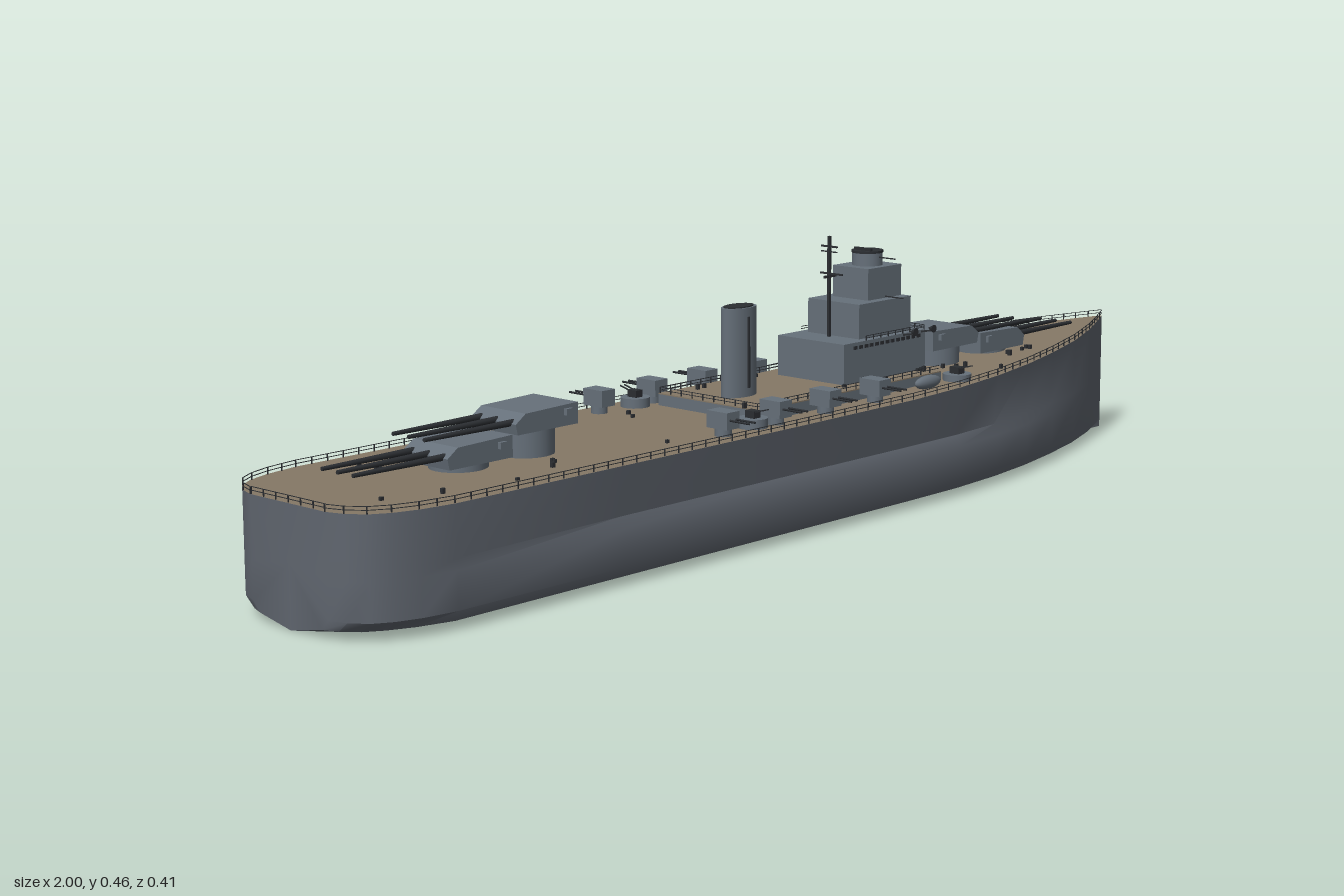
import * as THREE from 'three';
import { mergeGeometries, toCreasedNormals } from 'three/addons/utils/BufferGeometryUtils.js';

const mat = (name, color, side = THREE.FrontSide) => {
  const m = new THREE.MeshStandardMaterial({ color, side });
  m.name = name;
  return m;
};

// Half width of the deck along the ship: [x, half width]
const PLAN = [[-1, 0.085], [-0.99, 0.115], [-0.97, 0.142], [-0.94, 0.16], [-0.9, 0.173], [-0.84, 0.182],
  [-0.5, 0.182], [-0.1, 0.182], [0.2, 0.182], [0.33, 0.18], [0.45, 0.17], [0.56, 0.153], [0.67, 0.128],
  [0.78, 0.097], [0.88, 0.059], [0.95, 0.026], [1, 0.001]];
const clamp = THREE.MathUtils.clamp;
const deckY = (x) => 0.189 + 0.03 * Math.pow(clamp((x - 0.1) / 0.9, 0, 1), 1.4);

export function createModel() {
  const hullGrey = mat('hull grey', 0x60666f);
  const grey = mat('superstructure grey', 0x66707a);
  const wood = mat('deck wood', 0x857866);
  const dark = mat('dark fittings', 0x2b2e32);
  const ship = new THREE.Group();
  ship.name = 'battleship';

  const add = (name, geo, material, x = 0, y = 0, z = 0, parent = ship) => {
    const m = new THREE.Mesh(geo, material);
    m.name = name;
    m.position.set(x, y, z);
    parent.add(m);
    return m;
  };
  // Box given by its limits
  const block = (name, material, x0, x1, y0, y1, z0, z1, parent = ship) =>
    add(name, new THREE.BoxGeometry(x1 - x0, y1 - y0, z1 - z0), material,
      (x0 + x1) / 2, (y0 + y1) / 2, (z0 + z1) / 2, parent);
  // Thin square bar between two points
  const bar = (a, b, t) => {
    const d = b.clone().sub(a);
    const g = new THREE.BoxGeometry(t, t, d.length());
    g.applyQuaternion(new THREE.Quaternion().setFromUnitVectors(new THREE.Vector3(0, 0, 1), d.normalize()));
    return g.translate((a.x + b.x) / 2, (a.y + b.y) / 2, (a.z + b.z) / 2);
  };
  const V = (x, y, z) => new THREE.Vector3(x, y, z);

  // Surface through rows of equal length; optional cap on the first row
  const loft = (rows, cap) => {
    const n = rows[0].length, pos = rows.flat(2), idx = [];
    for (let i = 0; i < rows.length - 1; i++) for (let j = 0; j < n - 1; j++) {
      const a = i * n + j, c = a + n;
      idx.push(a, a + 1, c, a + 1, c + 1, c);
    }
    if (cap) {
      const k = pos.length / 3;
      pos.push(rows[0][0][0], 0.1, 0);
      for (let j = 0; j < n; j++) idx.push(k, (j + 1) % n, j);
    }
    const g = new THREE.BufferGeometry();
    g.setAttribute('position', new THREE.Float32BufferAttribute(pos, 3));
    g.setIndex(idx);
    return toCreasedNormals(g, 0.6);
  };

  // Hull with a shallow V bottom and a side bulge
  const section = ([x, w]) => {
    const dent = 0.055 * clamp((0.85 - Math.abs(x)) / 0.25, 0, 1);
    const tuck = 1 - 0.14 * clamp((-0.85 - x) / 0.15, 0, 1);
    const half = [[1, deckY(x)], [1 - dent, 0.108], [1, 0.09], [1, 0.03], [0.96 * tuck, 0.014]];
    const left = half.map(([f, y]) => [x, y, w * f]);
    const right = half.map(([f, y]) => [x, y, -w * f]).reverse();
    return [...left, [x, 0, 0], ...right];
  };
  add('hull', loft(PLAN.map(section), true), hullGrey);
  add('mainDeck', loft(PLAN.map(([x, w]) => [[x, deckY(x), -w], [x, deckY(x), w]])), wood);

  // Railings
  const railing = (name, pts, height, step) => {
    const parts = [], up = V(0, height, 0);
    for (let i = 0; i < pts.length - 1; i++) {
      const a = pts[i], b = pts[i + 1], n = Math.max(1, Math.round(a.distanceTo(b) / step));
      for (const f of [0.5, 1])
        parts.push(bar(a.clone().addScaledVector(up, f), b.clone().addScaledVector(up, f), 0.001));
      for (let k = 0; k < n; k++) {
        const p = a.clone().lerp(b, k / n);
        parts.push(bar(p, p.clone().add(up), 0.0016));
      }
    }
    add(name, mergeGeometries(parts), dark);
  };
  for (const s of [1, -1])
    railing(s > 0 ? 'leftRail' : 'rightRail', PLAN.map(([x, w]) => V(x, deckY(x), s * w * 0.985)), 0.011, 0.03);
  railing('sternRail', [V(-0.998, 0.189, -0.084), V(-0.998, 0.189, 0.084)], 0.011, 0.03);

  // Deckhouse amidships
  block('deckhouse', grey, -0.12, 0.36, 0.185, 0.208, -0.112, 0.112);
  block('deckhouseRoof', wood, -0.12, 0.36, 0.208, 0.21, -0.112, 0.112);
  railing('deckhouseRail', [V(0.355, 0.21, -0.11), V(-0.118, 0.21, -0.11), V(-0.118, 0.21, 0.11), V(0.355, 0.21, 0.11)], 0.01, 0.025);

  // Bridge tower
  const TIERS = [[0.14, 0.36, 0.208, 0.28, 0.075], [0.2, 0.34, 0.28, 0.34, 0.058], [0.245, 0.335, 0.34, 0.395, 0.04]];
  TIERS.forEach(([x0, x1, y0, y1, w], i) => block('bridgeTier' + (i + 1), grey, x0, x1, y0, y1, -w, w));
  add('directorTower', new THREE.CylinderGeometry(0.027, 0.027, 0.025, 24), grey, 0.29, 0.407, 0);
  add('directorCap', new THREE.CylinderGeometry(0.028, 0.028, 0.004, 24), dark, 0.29, 0.419, 0);
  // Bridge windows, front and sides
  const panes = [];
  for (let i = -6; i <= 6; i++) panes.push(new THREE.BoxGeometry(0.003, 0.007, 0.008).translate(0.36, 0.271, i * 0.0098));
  for (const s of [1, -1])
    for (let i = 0; i < 13; i++) panes.push(new THREE.BoxGeometry(0.009, 0.006, 0.003).translate(0.17 + i * 0.0142, 0.271, s * 0.075));
  add('bridgeWindows', mergeGeometries(panes), dark);
  railing('bridgeRail', [V(0.2, 0.28, 0.074), V(0.358, 0.28, 0.074), V(0.358, 0.28, -0.074), V(0.2, 0.28, -0.074)], 0.008, 0.02);

  // Mast with yards and aerials
  add('mast', mergeGeometries([
    bar(V(0.188, 0.28, 0), V(0.188, 0.455, 0), 0.005),
    bar(V(0.188, 0.437, -0.018), V(0.188, 0.437, 0.018), 0.003),
    bar(V(0.188, 0.428, -0.018), V(0.188, 0.428, 0.018), 0.002),
    bar(V(0.188, 0.39, -0.02), V(0.188, 0.39, 0.03), 0.003),
    bar(V(0.175, 0.385, 0), V(0.205, 0.385, 0), 0.004),
  ]), dark);
  add('rangefinderArms', mergeGeometries([
    bar(V(0.29, 0.41, 0.02), V(0.29, 0.41, 0.063), 0.002),
    bar(V(0.28, 0.345, 0.05), V(0.28, 0.345, 0.09), 0.002),
    bar(V(0.27, 0.425, -0.012), V(0.27, 0.425, 0.026), 0.005),
    bar(V(0.3, 0.4, -0.034), V(0.3, 0.4, -0.026), 0.007),
  ]), dark);

  // Oval funnel with a dark mouth and a steam pipe
  const funnel = new THREE.Group();
  funnel.name = 'funnel';
  funnel.position.set(-0.043, 0, 0);
  funnel.scale.z = 0.6;
  ship.add(funnel);
  add('funnelCasing', new THREE.CylinderGeometry(0.037, 0.037, 0.152, 28), grey, 0, 0.284, 0, funnel);
  add('funnelMouth', new THREE.CylinderGeometry(0.031, 0.031, 0.004, 28), dark, 0, 0.36, 0, funnel);
  for (const s of [1, -1])
    add('steamPipe', new THREE.CylinderGeometry(0.003, 0.003, 0.12, 8), dark, 0, 0.285, s * 0.038, funnel);

  // Main turrets, three guns each
  const turret = (name, x, base, y0, y1, reach, dir) => {
    const g = new THREE.Group();
    g.name = name;
    g.position.x = x;
    g.rotation.y = dir < 0 ? Math.PI : 0;
    ship.add(g);
    const h = y1 - y0;
    const side = new THREE.Shape([[-0.066, 0], [0.062, 0], [0.066, h * 0.5], [0.045, h * 0.92], [-0.066, h]]
      .map(([a, b]) => new THREE.Vector2(a, b)));
    add('gunhouse', new THREE.ExtrudeGeometry(side, { depth: 0.1, bevelEnabled: false }), grey, 0, y0, -0.05, g);
    add('barbette', new THREE.CylinderGeometry(0.046, 0.046, y0 - base, 24), grey, 0, (y0 + base) / 2, 0, g);
    for (const z of [-0.035, 0, 0.035]) {
      const len = reach - 0.05;
      const barrel = new THREE.CylinderGeometry(0.0032, 0.0055, len, 10).rotateZ(-Math.PI / 2);
      add('gunBarrel', barrel, dark, 0.05 + len / 2, y0 + h * 0.52, z, g);
    }
    block('turretRangefinder', grey, -0.05, -0.036, h * 0.5 + y0, h * 0.8 + y0, -0.056, 0.056, g);
  };
  turret('foreUpperTurret', 0.48, 0.188, 0.23, 0.266, 0.235, 1);
  turret('foreLowerTurret', 0.618, 0.188, 0.208, 0.246, 0.232, 1);
  turret('aftUpperTurret', -0.533, 0.185, 0.232, 0.266, 0.237, -1);
  turret('aftLowerTurret', -0.672, 0.185, 0.2, 0.235, 0.235, -1);

  // Broadside guns, gun tubs, boats and bridge wing lights
  for (const s of [1, -1]) {
    for (const x of [-0.233, -0.107, 0.017, 0.145]) {
      const g = new THREE.Group();
      g.name = 'secondaryMount';
      g.position.set(x, 0, s * 0.14);
      ship.add(g);
      add('secondaryGunhouse', new THREE.BoxGeometry(0.03, 0.028, 0.044), grey, 0, 0.216, 0, g);
      add('secondaryBase', new THREE.CylinderGeometry(0.014, 0.014, 0.018, 14), grey, 0, 0.196, 0, g);
      for (const dx of [-0.007, 0.007])
        add('secondaryBarrel', new THREE.CylinderGeometry(0.0018, 0.0018, 0.045, 8).rotateX(Math.PI / 2), dark, dx, 0.217, s * 0.04, g);
    }
    for (const x of [-0.155, 0.378]) {
      add('gunTub', new THREE.CylinderGeometry(0.025, 0.025, 0.016, 20), grey, x, 0.198, s * 0.133);
      add('tubGun', new THREE.BoxGeometry(0.016, 0.012, 0.02), dark, x, 0.212, s * 0.133);
      add('tubGunBarrels', mergeGeometries([-0.005, 0.005].map((d) =>
        bar(V(d, 0, 0), V(d, 0.008, s * 0.03), 0.002))), dark, x, 0.214, s * 0.133);
    }
    const boat = add('boat', new THREE.SphereGeometry(1, 16, 10), grey, 0.29, 0.203, s * 0.138);
    boat.scale.set(0.034, 0.012, 0.01);
    for (const x of [0.3, 0.35]) {
      add('wingLight', new THREE.ConeGeometry(0.007, 0.014, 10).rotateX(-s * Math.PI / 2), dark, x, 0.285, s * 0.096);
      add('wingLightArm', bar(V(0, 0.276, s * 0.07), V(0, 0.282, s * 0.1), 0.003), dark, x);
    }
  }

  // Small deck fittings: vents, lockers and bollards
  let seed = 7;
  const rnd = () => (seed = (seed * 16807) % 2147483647) / 2147483647;
  const fittings = [];
  for (let i = 0; i < 60; i++) {
    const x = -0.9 + rnd() * 1.7, mid = x > -0.14 && x < 0.4;
    const z = (rnd() < 0.5 ? -1 : 1) * (mid ? 0.082 + rnd() * 0.022 : 0.065 + rnd() * (x > 0.6 ? 0.015 : 0.08));
    const h = 0.004 + rnd() * 0.006;
    fittings.push(new THREE.BoxGeometry(0.006, h, 0.005).translate(x, (mid ? 0.21 : deckY(x)) + h / 2, z));
  }
  add('deckFittings', mergeGeometries(fittings), dark);
  return ship;
}
